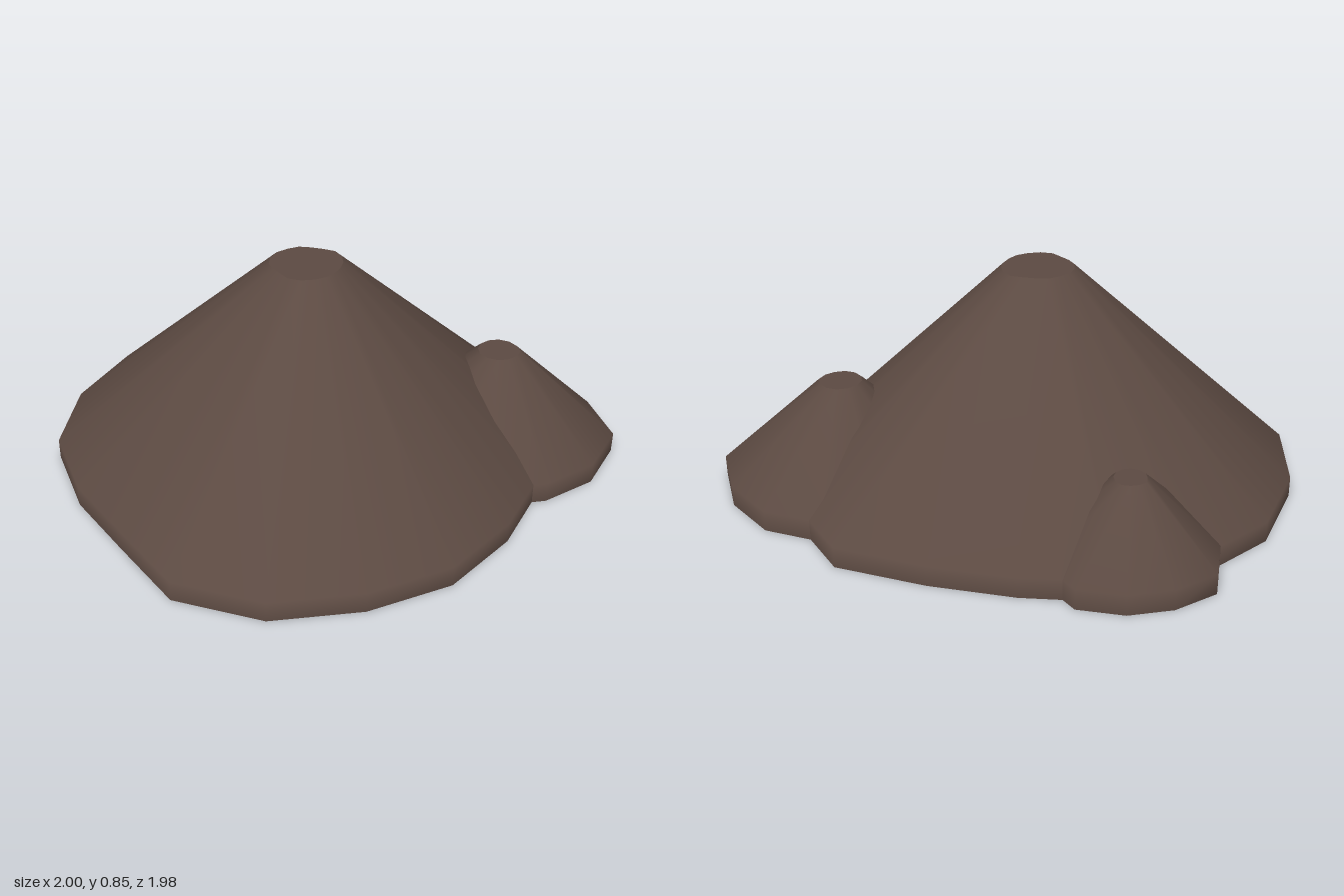
import * as THREE from 'three';
import { mergeGeometries } from 'three/addons/utils/BufferGeometryUtils.js';

// Flat fan closing a ring of points
function cap(ring, y, up) {
  const n = ring.length, pos = [0, y, 0], index = [];
  ring.forEach(([x, z], i) => {
    const j = (i + 1) % n;
    pos.push(x, y, z);
    index.push(0, 1 + (up ? j : i), 1 + (up ? i : j));
  });
  return toGeometry(pos, index);
}

function toGeometry(pos, index) {
  const g = new THREE.BufferGeometry();
  g.setAttribute('position', new THREE.Float32BufferAttribute(pos, 3));
  g.setIndex(index);
  g.computeVertexNormals();
  return g;
}

// Truncated mound: uneven base outline, short upright rim, straight slope, flat top.
// radii run evenly round from +x towards +z.
function moundGeometry(radii, rimHeight, height, topScale) {
  const n = radii.length;
  const ring = (s) => radii.map((r, i) => {
    const a = (i / n) * Math.PI * 2;
    return [Math.cos(a) * r * s, Math.sin(a) * r * s];
  });
  const levels = [[0, 1], [rimHeight, 1], [height, topScale]];
  const pos = [], index = [];
  levels.forEach(([y, s], k) => {
    ring(s).forEach(([x, z]) => pos.push(x, y, z));
    if (k === 0) return;
    for (let i = 0; i < n; i++) {
      const j = (i + 1) % n, b = (k - 1) * n, t = k * n;
      index.push(b + i, t + i, b + j, t + i, t + j, b + j);
    }
  });
  return mergeGeometries([
    toGeometry(pos, index),
    cap(ring(topScale), height, true),
    cap(ring(1), 0, false),
  ]);
}

export function createModel() {
  const group = new THREE.Group();
  group.name = 'moundCluster';
  const earth = new THREE.MeshStandardMaterial({ color: 0x5c4a42 });
  earth.name = 'brown earth';

  const add = (name, x, z, radii, height, topScale) => {
    const mesh = new THREE.Mesh(moundGeometry(radii, 0.08, height, topScale), earth);
    mesh.name = name;
    mesh.position.set(x, 0, z);
    group.add(mesh);
  };

  // Large central mound
  add('mainMound', 0, 0, [
    0.925, 0.955, 0.965, 1.0, 1.0, 0.905, 0.925, 0.98, 0.99,
    0.995, 0.96, 0.97, 0.91, 0.92, 1.015, 0.993, 0.96, 0.925,
  ], 0.845, 0.142);

  // Side mound at the back left
  add('leftSideMound', 0.545, -0.515, [
    0.45, 0.43, 0.44, 0.44, 0.44, 0.44, 0.44, 0.44, 0.45, 0.45, 0.45, 0.48,
  ], 0.43, 0.18);

  // Smaller side mound at the back right
  add('rightSideMound', -0.65, -0.39, [
    0.33, 0.33, 0.33, 0.33, 0.33, 0.32, 0.35, 0.32, 0.32, 0.345, 0.33, 0.33,
  ], 0.34, 0.18);

  return group;
}
